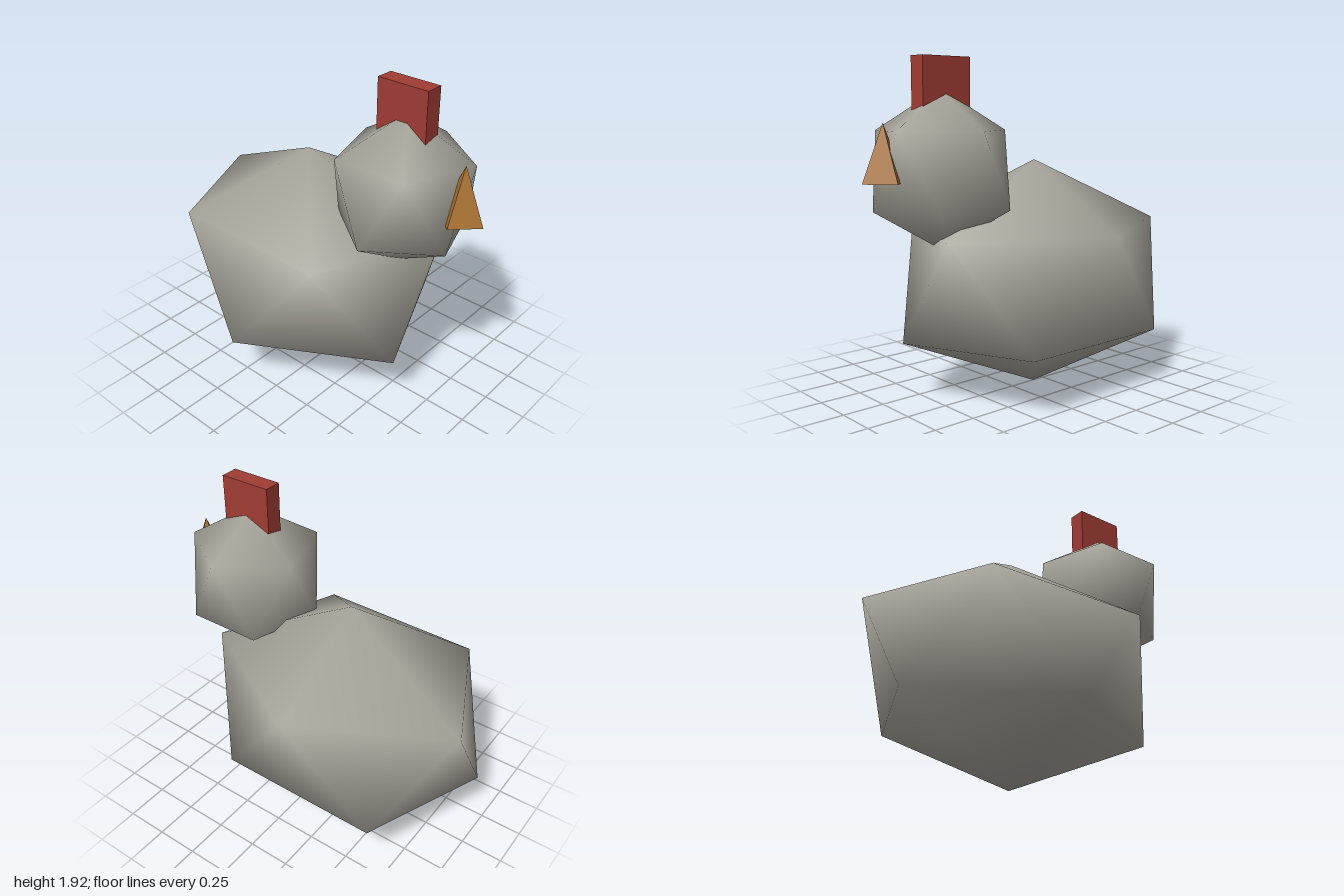
import * as THREE from 'three';

const feathers = new THREE.MeshStandardMaterial({ color: 0xa8a69c });
feathers.name = 'featherGrey';
const horn = new THREE.MeshStandardMaterial({ color: 0xa87030 });
horn.name = 'beakOchre';
const red = new THREE.MeshStandardMaterial({ color: 0xa03c34 });
red.name = 'combRed';

// Smooth twenty-sided ball: two poles and two staggered rings of five [x, z] points
function ball(name, centre, top, bottom, upperY, lowerY, upper, lower) {
  const [cx, cz] = centre;
  const positions = [cx, top, cz];
  upper.forEach(([x, z]) => positions.push(x, upperY, z));
  lower.forEach(([x, z]) => positions.push(x, lowerY, z));
  positions.push(cx, bottom, cz);
  const index = [];
  for (let k = 0; k < 5; k++) {
    const n = (k + 1) % 5;
    const u = 1 + k, un = 1 + n, l = 6 + k, ln = 6 + n;
    index.push(0, u, un, u, l, un, l, ln, un, ln, l, 11);
  }
  const geometry = new THREE.BufferGeometry();
  geometry.setAttribute('position', new THREE.Float32BufferAttribute(positions, 3));
  geometry.setIndex(index);
  geometry.computeVertexNormals();
  const mesh = new THREE.Mesh(geometry, feathers);
  mesh.name = name;
  return mesh;
}

export function createModel() {
  const model = new THREE.Group();
  model.name = 'bird';

  // Egg-like body, longer from front to back
  model.add(ball('body', [0, -0.17], 1.355, 0.003, 0.965, 0.345,
    [[0.665, -0.17], [0.21, -1], [-0.525, -0.655], [-0.54, 0.33], [0.206, 0.63]],
    [[0.535, -0.66], [-0.2, -0.955], [-0.67, -0.17], [-0.2, 0.64], [0.535, 0.32]]));

  // Head, sunk into the front of the body
  model.add(ball('head', [0, 0.51], 1.76, 0.89, 1.535, 1.115,
    [[0.367, 0.51], [0.115, 0.155], [-0.302, 0.285], [-0.302, 0.725], [0.115, 0.865]],
    [[0.308, 0.285], [-0.115, 0.155], [-0.372, 0.505], [-0.115, 0.868], [0.308, 0.725]]));

  // Four-sided beak, point up with one edge facing forward
  const beakGeometry = new THREE.ConeGeometry(0.129, 0.306, 4, 1).toNonIndexed();
  beakGeometry.computeVertexNormals();
  const beak = new THREE.Mesh(beakGeometry, horn);
  beak.name = 'beak';
  beak.position.set(0.004, 1.428, 0.871);
  model.add(beak);

  // Upright comb on the crown
  const comb = new THREE.Mesh(new THREE.BoxGeometry(0.104, 0.306, 0.308), red);
  comb.name = 'comb';
  comb.position.set(0.004, 1.77, 0.505);
  model.add(comb);

  return model;
}
